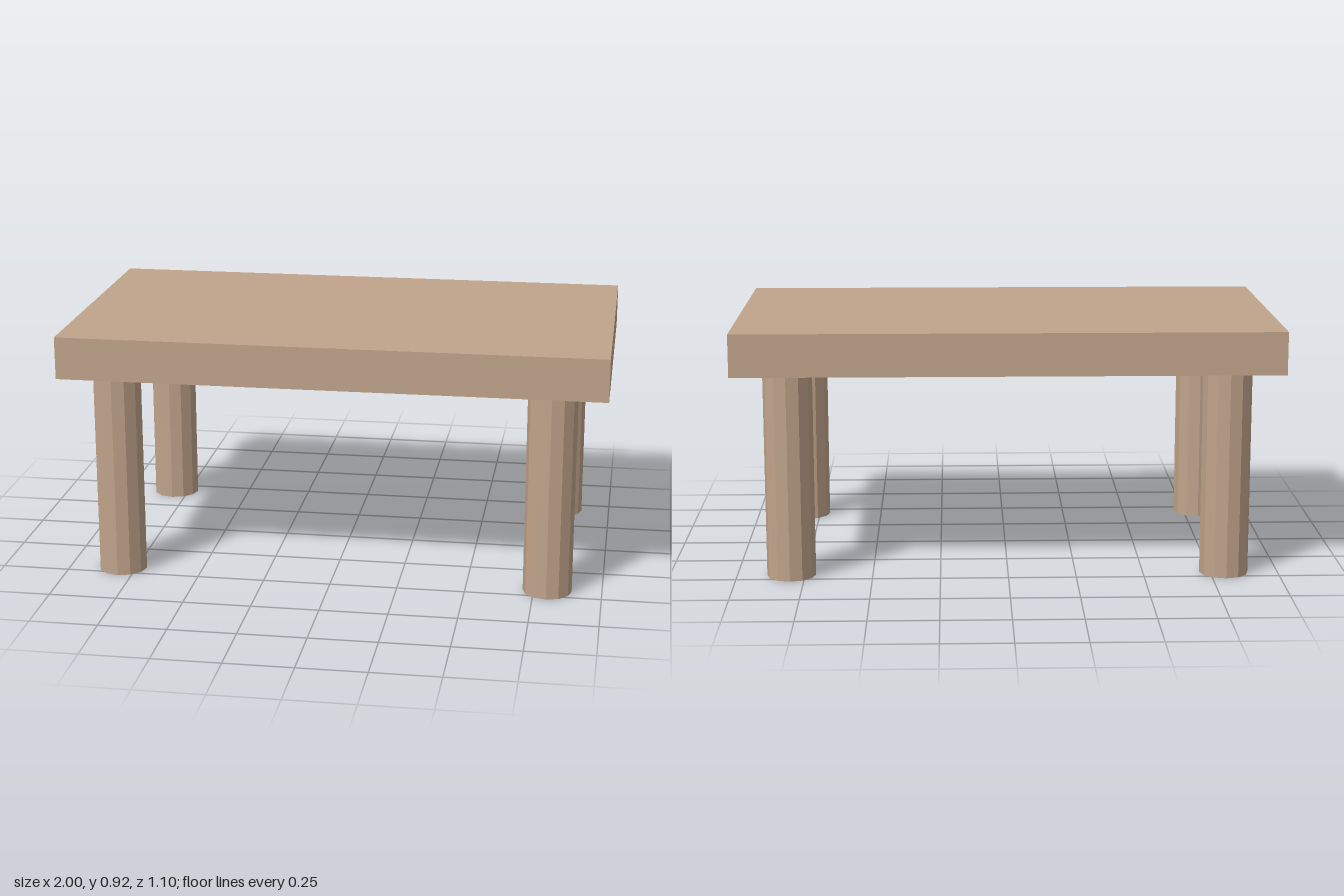
import * as THREE from 'three';

export function createModel() {
  const model = new THREE.Group();
  model.name = 'table';
  const wood = new THREE.MeshStandardMaterial({ color: 0xc0a48b, flatShading: true });
  wood.name = 'light brown wood';

  const legHeight = 0.763;
  const topThickness = 0.157;

  // Thick slab top
  const top = new THREE.Mesh(new THREE.BoxGeometry(2, topThickness, 1.1), wood);
  top.name = 'tableTop';
  top.position.y = legHeight + topThickness / 2;
  model.add(top);

  // Four twelve-sided legs
  const legGeometry = new THREE.CylinderGeometry(0.09, 0.09, legHeight, 12);
  for (const [end, x] of [['Left', 0.8], ['Right', -0.8]]) {
    for (const [side, z] of [['front', 0.44], ['back', -0.44]]) {
      const leg = new THREE.Mesh(legGeometry, wood);
      leg.name = `${side}${end}Leg`;
      leg.position.set(x, legHeight / 2, z);
      model.add(leg);
    }
  }
  return model;
}
